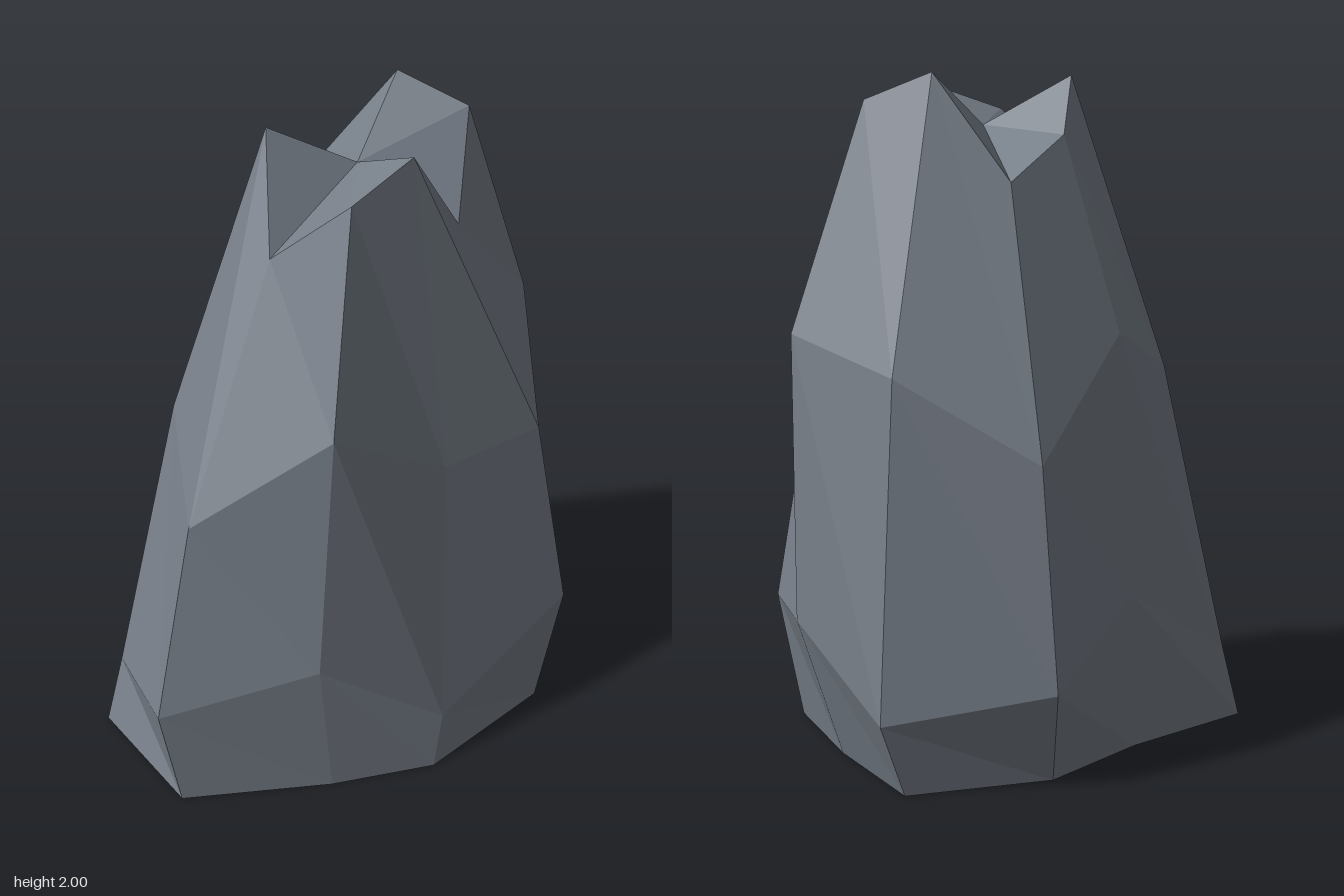
import * as THREE from 'three';

// Four rings of nine [x, y, z] points, running from the left side (+x) through the front
const base = [[0.56, 0, 0.04], [0.54, 0, 0.43], [0.08, 0, 0.54], [-0.23, 0, 0.45], [-0.65, 0, 0.27],
  [-0.68, 0, -0.17], [-0.25, 0, -0.28], [0.1, 0, -0.43], [0.53, 0, -0.36]];
const belly = [[0.7, 0.43, 0.03], [0.61, 0.39, 0.45], [0.12, 0.17, 0.52], [-0.28, 0.47, 0.46], [-0.71, 0.34, 0.26],
  [-0.62, 0.22, -0.17], [-0.2, 0.49, -0.34], [0.14, 0.29, -0.54], [0.61, 0.22, -0.38]];
const shoulder = [[0.7, 1.27, 0.03], [0.53, 1.0, 0.37], [0.17, 1.01, 0.41], [-0.23, 1.26, 0.45], [-0.57, 0.96, 0.23],
  [-0.42, 1.12, -0.13], [-0.17, 1.26, -0.31], [0.17, 0.94, -0.5], [0.53, 1.18, -0.3]];
const rim = [[0.47, 1.92, 0.03], [0.33, 1.66, 0.2], [0.14, 1.94, 0.25], [-0.08, 1.87, 0.29], [-0.24, 1.68, 0.13],
  [-0.15, 1.98, -0.04], [-0.05, 1.82, -0.19], [0.16, 1.7, -0.28], [0.33, 2.0, -0.13]];

// Joins the rings with triangles and closes both ends with fans
function loftRock(rings, bottom, top) {
  const n = rings[0].length;
  const positions = [];
  const tri = (...corners) => corners.forEach((c) => positions.push(...c));
  const last = rings[rings.length - 1];
  for (let i = 0; i < n; i++) {
    const j = (i + 1) % n;
    tri(bottom, rings[0][i], rings[0][j]);
    for (let k = 0; k < rings.length - 1; k++) {
      const a = rings[k], b = rings[k + 1];
      tri(a[i], b[i], b[j]);
      tri(a[i], b[j], a[j]);
    }
    tri(last[i], top, last[j]);
  }
  const geometry = new THREE.BufferGeometry();
  geometry.setAttribute('position', new THREE.Float32BufferAttribute(positions, 3));
  geometry.computeVertexNormals();
  return geometry;
}

export function createModel() {
  const stone = new THREE.MeshStandardMaterial({ color: 0x78808a });
  stone.name = 'slateStone';
  stone.flatShading = true;

  // Tall faceted boulder with a jagged, sunken crown
  const rock = new THREE.Mesh(
    loftRock([base, belly, shoulder, rim], [0, 0, 0.03], [0.1, 1.84, 0.03]), stone);
  rock.name = 'rock';

  const group = new THREE.Group();
  group.name = 'boulder';
  group.add(rock);
  return group;
}
